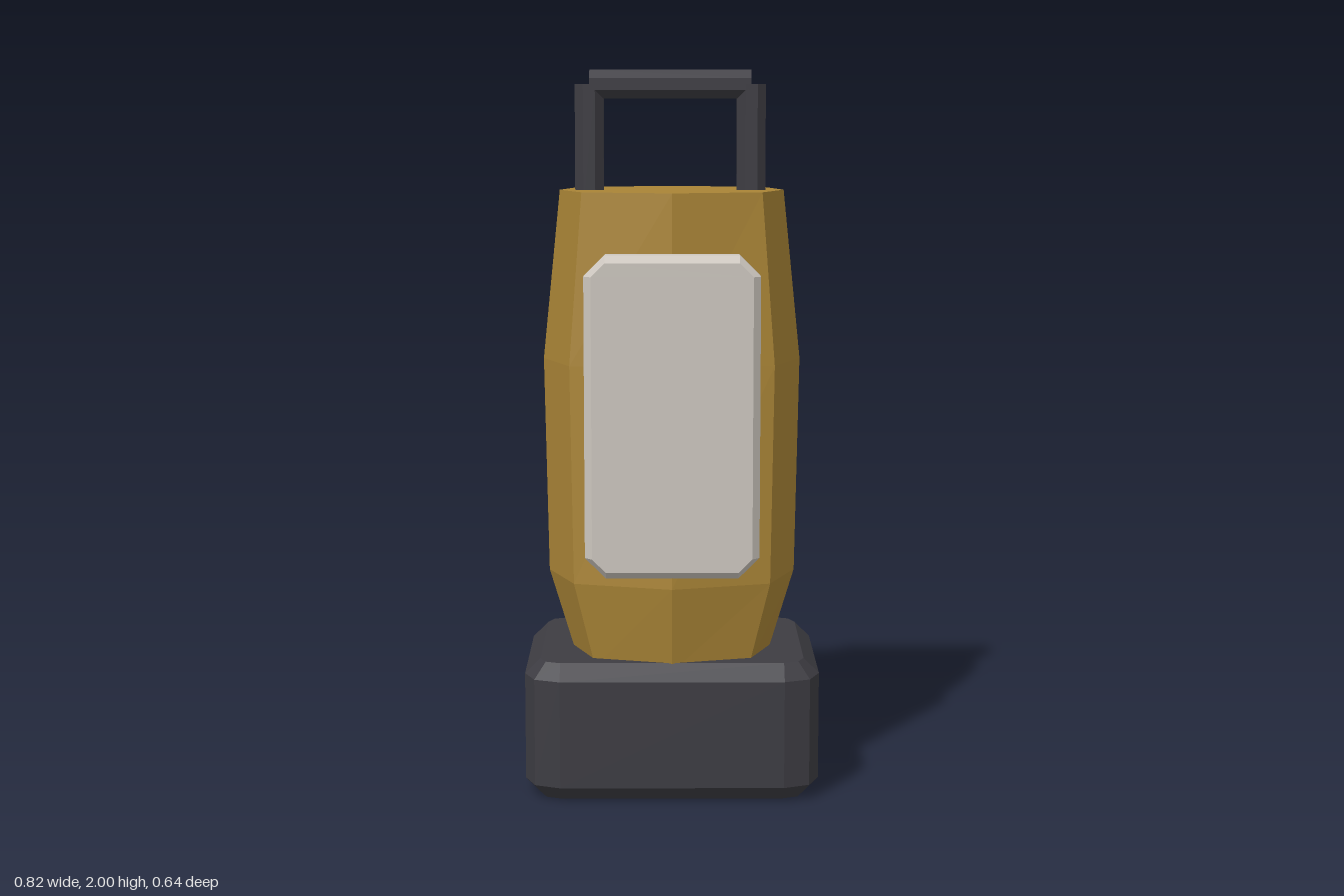
import * as THREE from 'three';

// Flat-shaded solid through a stack of rings, each counterclockwise about the stacking axis
function loft(rings) {
  const pos = [];
  const tri = (a, b, c) => pos.push(...a, ...b, ...c);
  const n = rings[0].length;
  for (let r = 0; r < rings.length - 1; r++) {
    for (let i = 0; i < n; i++) {
      const j = (i + 1) % n;
      tri(rings[r][i], rings[r][j], rings[r + 1][j]);
      tri(rings[r][i], rings[r + 1][j], rings[r + 1][i]);
    }
  }
  const first = rings[0], last = rings[rings.length - 1];
  for (let i = 1; i < n - 1; i++) {
    tri(first[0], first[i + 1], first[i]);
    tri(last[0], last[i], last[i + 1]);
  }
  const geo = new THREE.BufferGeometry();
  geo.setAttribute('position', new THREE.Float32BufferAttribute(pos, 3));
  geo.computeVertexNormals();
  return geo;
}

// Rectangle outline with faceted round corners
function roundedRect(halfW, halfH, radius, segments) {
  const pts = [];
  [[1, 1], [-1, 1], [-1, -1], [1, -1]].forEach(([sx, sy], q) => {
    for (let k = 0; k <= segments; k++) {
      const a = (q + k / segments) * Math.PI / 2;
      pts.push([
        sx * (halfW - radius) + radius * Math.cos(a),
        sy * (halfH - radius) + radius * Math.sin(a),
      ]);
    }
  });
  return pts;
}

export function createModel() {
  const model = new THREE.Group();
  model.name = 'lantern';
  const material = (name, color) => {
    const m = new THREE.MeshStandardMaterial({ color });
    m.name = name;
    return m;
  };
  const ochre = material('ochre', 0xa98436);
  const charcoal = material('charcoal', 0x3d3c42);
  const paleGrey = material('pale grey', 0xccc6be);

  const add = (name, geo, mat) => {
    const mesh = new THREE.Mesh(geo, mat);
    mesh.name = name;
    model.add(mesh);
    return mesh;
  };

  // Bevelled base block: [height, inset]
  const base = [[0, 0.043], [0.043, 0], [0.343, 0], [0.386, 0.043]].map(([y, inset]) =>
    roundedRect(0.408 - inset, 0.312 - inset, 0.1 - inset, 2)
      .map(([u, v]) => [u, y, -v - 0.0075]));
  add('base', loft(base), charcoal);

  // Eight-sided body: y, side x/z, back corner x/z, back z, front corner x/z, front z
  const body = [
    [0.36, 0.27, 0.057, 0.228, -0.123, -0.165, 0.213, 0.203, 0.26],
    [0.60, 0.346, 0.03, 0.285, -0.19, -0.25, 0.27, 0.221, 0.298],
    [1.20, 0.359, 0.003, 0.3, -0.227, -0.287, 0.28, 0.197, 0.264],
    [1.67, 0.311, 0.003, 0.26, -0.199, -0.252, 0.245, 0.17, 0.237],
  ].map(([y, sx, sz, bx, bz, back, fx, fz, front]) => [
    [sx, y, sz], [bx, y, bz], [0, y, back], [-bx, y, bz],
    [-sx, y, sz], [-fx, y, fz], [0, y, front], [fx, y, fz],
  ]);
  add('body', loft(body), ochre);

  // Front panel with cut corners and a bevelled face: [z, inset]
  const panel = [[0.254, 0], [0.295, 0], [0.316, 0.02]].map(([z, inset]) =>
    roundedRect(0.237 - inset, 0.439 - inset, 0.057 - inset, 1)
      .map(([u, v]) => [u, v + 1.07, z]));
  add('frontPanel', loft(panel), paleGrey);

  // Carrying handle from eight-sided bars with flats facing up, front and sides
  const bar = (name, length, x, y, sideways) => {
    const geo = new THREE.CylinderGeometry(0.043, 0.043, length, 8).toNonIndexed();
    geo.rotateY(Math.PI / 8);
    if (sideways) geo.rotateZ(Math.PI / 2);
    geo.computeVertexNormals();
    add(name, geo, charcoal).position.set(x, y, -0.008);
  };
  bar('leftHandlePost', 0.33, 0.22, 1.795, false);
  bar('rightHandlePost', 0.33, -0.228, 1.795, false);
  bar('handleGrip', 0.446, -0.004, 1.96, true);

  return model;
}
